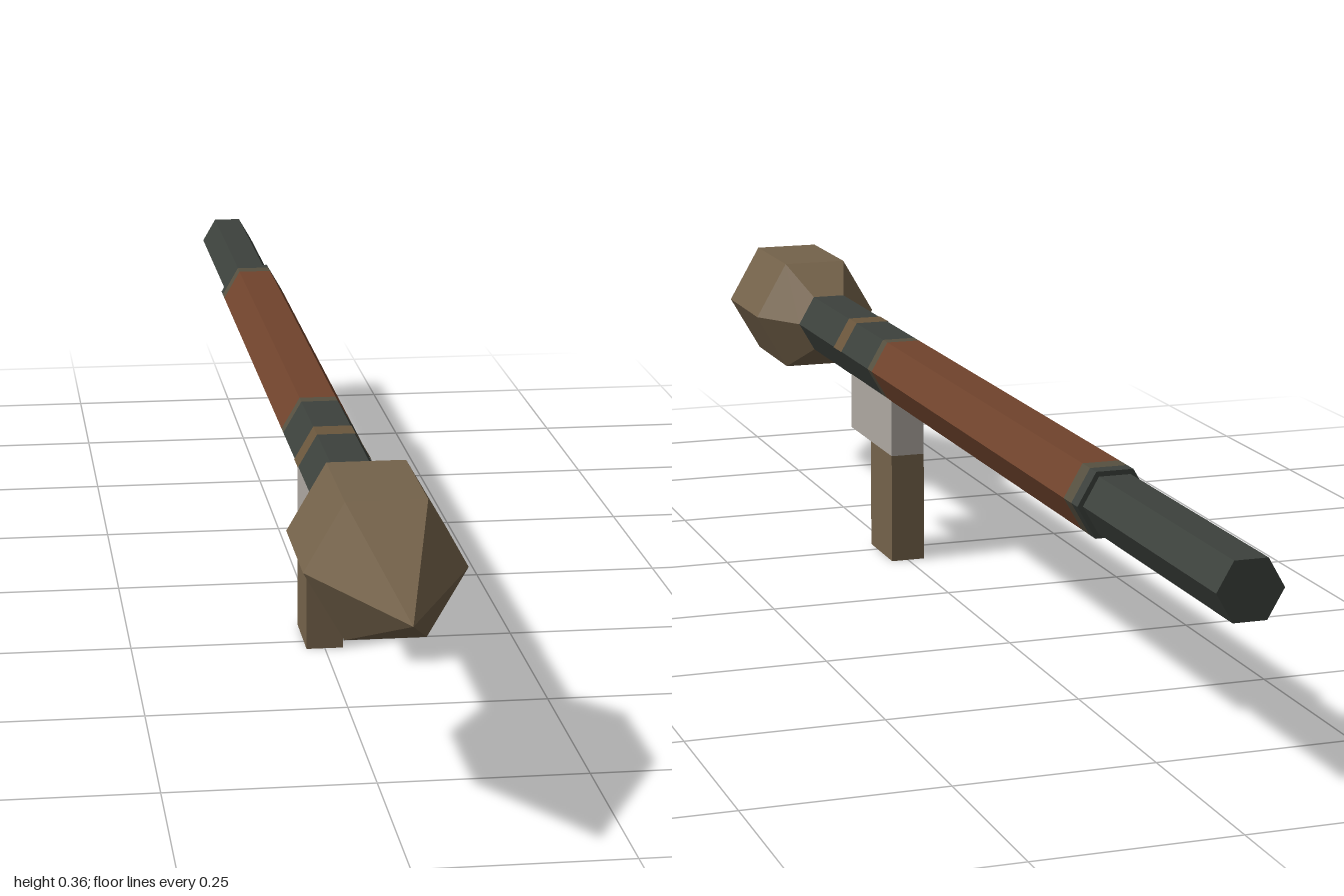
import * as THREE from 'three';

const AXIS_Y = 0.2755;

export function createModel() {
  const model = new THREE.Group();
  const mat = (name, color, side = THREE.FrontSide) => {
    const m = new THREE.MeshStandardMaterial({ color, flatShading: true, side });
    m.name = name;
    return m;
  };
  const olive = mat('olive brown', 0x74624a);
  const metal = mat('dark metal', 0x3c413c);
  const wood = mat('red brown wood', 0x70432c);
  const grey = mat('light grey', 0xaea8a1);
  const trim = mat('dull trim', 0x565040);
  const paint = mat('band paint', 0x6a563c, THREE.DoubleSide);

  const add = (name, geometry, material, x, y, z) => {
    const mesh = new THREE.Mesh(geometry, material);
    mesh.name = name;
    mesh.position.set(x, y, z);
    model.add(mesh);
  };

  // Six-sided section along z, corners pointing to the sides
  const section = (name, material, zFront, zBack, rFront, rBack = rFront, open = false) => {
    const g = new THREE.CylinderGeometry(rFront, rBack, zFront - zBack, 6, 1, open, Math.PI / 2);
    g.rotateX(Math.PI / 2);
    add(name, g, material, 0, AXIS_Y, (zFront + zBack) / 2);
  };

  // Warhead
  section('warheadTip', olive, 1, 0.805, 0, 0.093, true);
  section('warheadBody', olive, 0.805, 0.645, 0.093, 0.093, true);
  section('warheadBase', olive, 0.645, 0.57, 0.093, 0.047);

  // Launch tube
  section('frontTube', metal, 0.57, 0.22, 0.047);
  section('frontTrim', trim, 0.22, 0.2, 0.047);
  section('woodGuard', wood, 0.2, -0.565, 0.047);
  section('rearTrim', trim, -0.565, -0.59, 0.047);
  section('rearCollar', metal, -0.59, -0.61, 0.047);
  section('rearTube', metal, -0.61, -1, 0.04);

  // Painted band over the upper three faces
  const band = new THREE.CylinderGeometry(0.048, 0.048, 0.038, 3, 1, true, Math.PI / 2, Math.PI);
  band.rotateX(Math.PI / 2);
  add('paintedBand', band, paint, 0, AXIS_Y, 0.365);

  // Trigger housing and grip
  add('triggerHousing', new THREE.BoxGeometry(0.048, 0.09, 0.195), grey, 0, 0.2, 0.2775);
  add('grip', new THREE.BoxGeometry(0.048, 0.155, 0.1), olive, 0, 0.0775, 0.23);

  return model;
}
